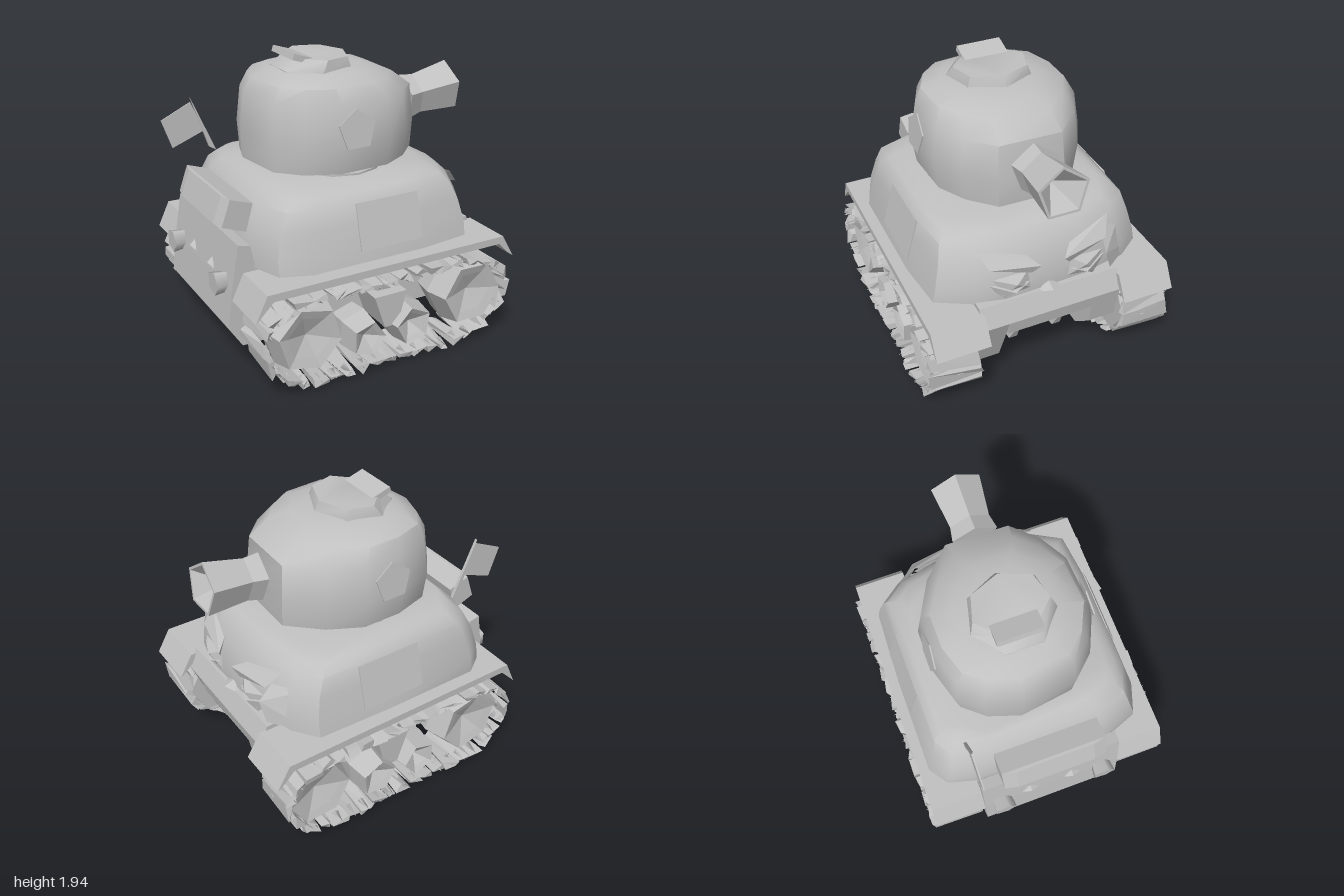
import * as THREE from 'three';
import { toCreasedNormals } from 'three/addons/utils/BufferGeometryUtils.js';
import { ConvexGeometry } from 'three/addons/geometries/ConvexGeometry.js';

const grey = new THREE.MeshStandardMaterial({ color: 0xc0c0c0, side: THREE.DoubleSide });
grey.name = 'plain grey';

let seed = 7;
const jitter = (a) => {
  seed = (seed * 16807) % 2147483647;
  return (seed / 2147483647 - 0.5) * 2 * a;
};

function add(parent, name, geometry) {
  const mesh = new THREE.Mesh(geometry, grey);
  mesh.name = name;
  parent.add(mesh);
  return mesh;
}

// Stacks scaled copies of an xz outline: levels are [y, scaleX, scaleZ, shiftX]
function loft(outline, levels) {
  const n = outline.length, pos = [], idx = [];
  for (const [y, sx, sz, dx = 0] of levels)
    for (const [x, z] of outline) pos.push(x * sx + dx, y, z * sz);
  const top = (levels.length - 1) * n;
  for (let i = 0; i < levels.length - 1; i++)
    for (let j = 0; j < n; j++) {
      const a = i * n + j, b = i * n + (j + 1) % n;
      idx.push(a, a + n, b, b, a + n, b + n);
    }
  for (let j = 1; j < n - 1; j++) idx.push(0, j, j + 1, top, top + j + 1, top + j);
  const g = new THREE.BufferGeometry();
  g.setAttribute('position', new THREE.Float32BufferAttribute(pos, 3));
  g.setIndex(idx);
  return toCreasedNormals(g, 0.75);
}

// Extrudes an xy profile from z0 to z1
function slab(profile, z0, z1) {
  const shape = new THREE.Shape(profile.map(([x, y]) => new THREE.Vector2(x, y)));
  return new THREE.ExtrudeGeometry(shape, { depth: z1 - z0, bevelEnabled: false }).translate(0, 0, z0);
}

const convex = (pts) => new ConvexGeometry(pts.map((p) => new THREE.Vector3(...p)));

// Faceted solid of revolution around y from [radius, y] pairs
function turned(profile, sides, start = 0) {
  const g = new THREE.LatheGeometry(profile.map(([r, y]) => new THREE.Vector2(r, y)), sides, start).toNonIndexed();
  g.computeVertexNormals();
  return g;
}

// Faceted wheel with a dished outer face, axis along z
function wheel(r, sides, turn) {
  const profile = [[0, 0], [0.9, 0], [1, 0.14], [0.85, 0.3], [0.6, 0.28], [0, 0.22]];
  return turned(profile.map(([k, y]) => [k * r, y]), sides).rotateX(Math.PI / 2).rotateZ(turn);
}

// One jagged track link
function link() {
  const g = new THREE.BoxGeometry(0.085, 0.034, 0.34).toNonIndexed();
  const p = g.attributes.position, moved = {};
  for (let i = 0; i < p.count; i++) {
    const key = [p.getX(i), p.getY(i), p.getZ(i)].map((v) => v.toFixed(3)).join();
    moved[key] ??= [jitter(0.032), jitter(0.015), jitter(0.025)];
    const [dx, dy, dz] = moved[key];
    p.setXYZ(i, p.getX(i) + dx, p.getY(i) + dy, p.getZ(i) + dz);
  }
  g.computeVertexNormals();
  return g;
}

// Fender, wheels and track of one side, built at +z
function runningGear() {
  const side = new THREE.Group();
  add(side, 'fender', slab([[-0.92, 0.54], [-0.84, 0.71], [0.89, 0.71], [0.985, 0.55],
    [0.94, 0.58], [0.86, 0.66], [-0.8, 0.66]], 0.47, 0.83));
  for (const [x, y, r, sides, turn] of [[-0.55, 0.33, 0.26, 6, 0.3], [0.67, 0.34, 0.26, 6, 0.5],
    [-0.13, 0.21, 0.145, 5, 0.3], [0.21, 0.22, 0.155, 5, 0.8]])
    add(side, 'wheel', wheel(r, sides, turn)).position.set(x, y, 0.52);
  add(side, 'suspensionBlock', slab([[-0.06, 0.46], [0.18, 0.46], [0.12, 0.23], [0.02, 0.23]], 0.5, 0.76));
  const path = new THREE.CatmullRomCurve3([[-0.6, 0.045], [0, 0.045], [0.6, 0.045], [0.82, 0.16],
    [0.91, 0.34], [0.84, 0.51], [0.6, 0.59], [0, 0.59], [-0.6, 0.59], [-0.81, 0.5], [-0.86, 0.34], [-0.77, 0.14]]
    .map(([x, y]) => new THREE.Vector3(x, y, 0.68)), true, 'centripetal');
  const count = 40;
  for (let i = 0; i < count; i++) {
    const p = path.getPointAt(i / count), t = path.getTangentAt(i / count);
    const m = add(side, 'trackLink', link());
    m.position.copy(p);
    m.rotation.z = Math.atan2(t.y, t.x) + jitter(0.2);
    // guide tooth on the outer edge
    const tooth = add(side, 'trackTooth', new THREE.ConeGeometry(0.03, 0.1, 3).rotateX(Math.PI / 2));
    tooth.position.set(p.x - t.y * 0.01, p.y + t.x * 0.01, 0.82);
    tooth.rotation.z = i;
  }
  return side;
}

export function createModel() {
  const tank = new THREE.Group();
  tank.name = 'tank';

  // Lower hull: upright cheeks either side of a nose with a sloped underside
  const rear = [[0.84, 0.74], [-0.76, 0.74], [-0.79, 0.88], [-0.87, 0.9], [-0.92, 0.6], [-0.95, 0.35], [-0.86, 0.21]];
  add(tank, 'lowerHull', slab([...rear, [0.52, 0.21], [0.82, 0.49], [0.88, 0.5], [0.9, 0.6]], -0.29, 0.31));
  add(tank, 'hullCheek', slab([...rear, [0.74, 0.2], [0.9, 0.6]], 0.31, 0.49));
  add(tank, 'hullCheek', slab([...rear, [0.68, 0.2], [0.85, 0.35], [0.9, 0.6]], -0.48, -0.29));
  for (const z of [0.17, -0.15])
    add(tank, 'towHook', convex([[0.52, 0.22, z - 0.035], [0.52, 0.22, z + 0.035], [0.66, 0.22, z + 0.03],
      [0.66, 0.22, z - 0.03], [0.77, 0.43, z]]));

  // Rounded upper hull with nearly straight flanks
  const hullOutline = [[-0.77, -0.45], [-0.71, -0.67], [-0.58, -0.76], [0.1, -0.76], [0.62, -0.74], [0.74, -0.58],
    [0.81, -0.27], [0.83, 0.3], [0.78, 0.5], [0.66, 0.72], [0.3, 0.76], [-0.5, 0.76], [-0.7, 0.69], [-0.79, 0.45]];
  add(tank, 'upperHull', loft(hullOutline, [[0.73, 0.99, 1], [0.83, 0.99, 0.974], [0.98, 0.94, 0.923],
    [1.1, 0.86, 0.88], [1.15, 0.79, 0.81], [1.18, 0.7, 0.73, -0.035]]));
  const ring = add(tank, 'turretRing', new THREE.CylinderGeometry(0.37, 0.37, 0.014, 14));
  ring.position.set(-0.02, 1.2, 0);
  ring.scale.z = 1.28;

  // Plates on the hull flanks
  for (const s of [1, -1]) {
    const plate = add(tank, 'flankPlate', new THREE.BoxGeometry(0.45, 0.3, 0.009));
    plate.position.set(0.065, 0.95, s * 0.712);
    plate.rotation.x = -s * 0.265;
  }

  // Face-like nose: brows, eyes and a small snout ridge
  for (const s of [1, -1]) {
    add(tank, 'brow', convex([[0.86, 0.96, s * 0.08], [0.78, 1.01, s * 0.15], [0.7, 1.09, s * 0.46],
      [0.8, 0.98, s * 0.4], [0.83, 0.9, s * 0.13]]));
    add(tank, 'eye', convex([[0.81, 0.91, s * 0.15], [0.82, 0.78, s * 0.13], [0.82, 0.76, s * 0.32],
      [0.8, 0.9, s * 0.38], [0.86, 0.86, s * 0.24]]));
    add(tank, 'lowerLid', convex([[0.83, 0.84, s * 0.14], [0.86, 0.8, s * 0.25], [0.81, 0.73, s * 0.32],
      [0.8, 0.86, s * 0.4]]));
  }
  add(tank, 'cornerPlate', convex([[0.75, 0.99, -0.4], [0.65, 1.0, -0.58], [0.62, 0.74, -0.73],
    [0.82, 0.74, -0.44], [0.84, 0.88, -0.39]]));
  add(tank, 'snout', convex([[0.8, 0.78, 0], [0.83, 0.73, 0.09], [0.83, 0.73, -0.09], [0.88, 0.75, 0]]));

  // Rear stowage roll, lamps and vents
  add(tank, 'stowageRoll', convex([[0.28, 0], [0.37, 0.02]].flatMap(([z, dx]) =>
    [[-0.88, 1.15], [-0.73, 1.1], [-0.78, 0.92], [-0.94, 0.98]]
      .flatMap(([x, y]) => [[x + dx, y, z], [x + dx, y, -z + 0.03]]))));
  for (const z of [0.36, -0.36])
    add(tank, 'rearLamp', new THREE.CylinderGeometry(0.08, 0.065, 0.12, 5).rotateZ(Math.PI / 2)).position.set(-0.93, 0.62, z);
  for (const z of [0.15, -0.15])
    add(tank, 'rearVent', convex([[-0.9, 0.7, z], [-0.92, 0.64, z - 0.06], [-0.92, 0.64, z + 0.06], [-0.94, 0.66, z]]));

  // Flag on a slanted pole
  add(tank, 'flagPole', slab([[-0.76, 1.56], [-0.59, 1.17], [-0.64, 1.2]], -0.5, -0.48));
  add(tank, 'flag', slab([[-0.97, 1.43], [-0.76, 1.53], [-0.67, 1.32], [-0.9, 1.23]], -0.494, -0.486));

  // Turret with a flat gun face and a shoulder that falls away toward the gun
  const turretOutline = [[-0.57, -0.1], [-0.5, -0.32], [-0.38, -0.47], [-0.14, -0.54], [0.13, -0.54], [0.35, -0.42],
    [0.55, -0.22], [0.54, 0.23], [0.38, 0.4], [0.19, 0.51], [-0.16, 0.53], [-0.38, 0.43], [-0.52, 0.28]];
  add(tank, 'turret', loft(turretOutline, [[1.23, 0.99, 0.94], [1.42, 1, 1], [1.66, 0.96, 0.93], [1.76, 0.79, 0.84, -0.04],
    [1.81, 0.59, 0.6, -0.05], [1.83, 0.42, 0.42, -0.05]]));
  for (const s of [1, -1]) {
    const badge = add(tank, 'turretBadge', slab(Array.from({ length: 5 }, (_, i) =>
      [-0.135 * Math.sin(i * Math.PI * 0.4), 0.135 * Math.cos(i * Math.PI * 0.4)]), -0.0045, 0.0045));
    badge.position.set(-0.065, 1.51, s * 0.529);
    badge.rotation.x = -s * 0.14;
  }

  // Cupola and hatch
  const heptagon = Array.from({ length: 7 }, (_, i) => [Math.cos(i * Math.PI / 3.5), Math.sin(i * Math.PI / 3.5)]);
  add(tank, 'cupola', loft(heptagon, [[1.78, 0.27, 0.28, -0.1], [1.82, 0.27, 0.28, -0.1], [1.89, 0.2, 0.25, -0.07]]));
  const hatch = add(tank, 'hatch', new THREE.BoxGeometry(0.15, 0.04, 0.3));
  hatch.position.set(-0.23, 1.89, -0.01);
  hatch.rotation.z = -0.3;

  // Short hollow gun barrel, five-sided with a corner on top
  const barrel = add(tank, 'gunBarrel', turned([[0, 0], [0.16, 0], [0.14, 0.1], [0.175, 0.38], [0.155, 0.38], [0, 0.2]],
    5, -Math.PI / 2).rotateZ(-Math.PI / 2));
  barrel.position.set(0.59, 1.505, 0.01);
  barrel.rotation.z = 0.12;

  // Running gear on both sides
  for (const s of [1, -1]) {
    const gear = runningGear();
    gear.name = s > 0 ? 'frontRunningGear' : 'backRunningGear';
    gear.scale.z = s;
    tank.add(gear);
  }
  return tank;
}
